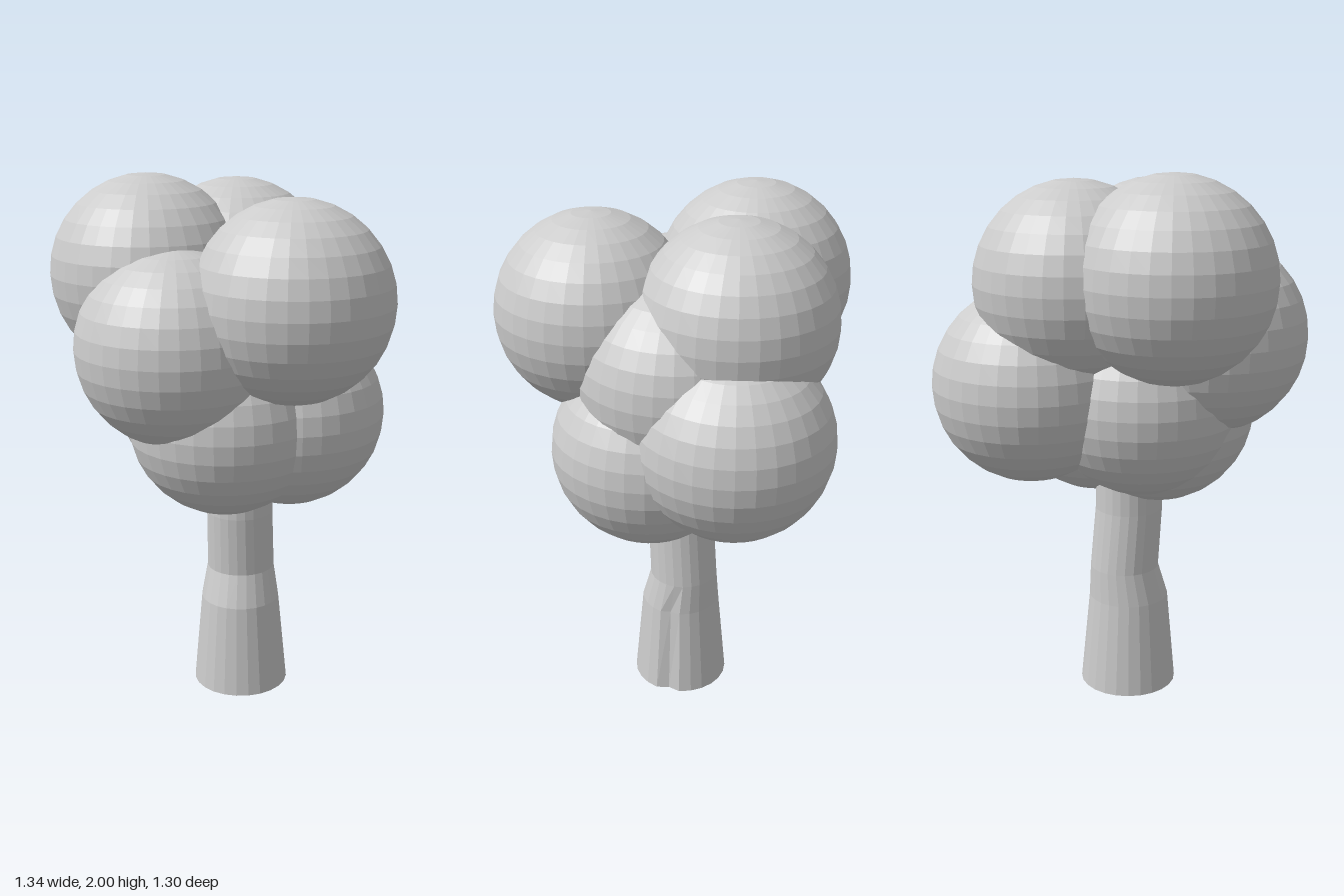
import * as THREE from 'three';

const material = new THREE.MeshStandardMaterial({ color: 0xcccccc, flatShading: true });

// Trunk rings from the ground up: height, centre x, centre z, radius, groove depth
const TRUNK_RINGS = [
  [0, -0.008, -0.03, 0.185, 0.02],
  [0.36, -0.01, -0.03, 0.152, 0.012],
  [0.485, 0.003, -0.042, 0.131, 0],
  [0.72, -0.012, -0.03, 0.128, 0],
  [1.1, -0.012, -0.03, 0.125, 0],
];

// Centres of the equally sized leaf balls
const LEAF_RADIUS = 0.36;
const LEAF_CENTRES = [
  [-0.03, 1.585, 0.287], // front, upper
  [-0.235, 1.64, -0.29], // back, top
  [0.135, 1.61, -0.225], // top, left
  [0.305, 1.235, -0.222], // back, left
  [0.14, 1.12, 0.08], // front, lower left
  [-0.115, 1.12, 0.01], // front, lower right
  [-0.31, 1.41, -0.03], // right
  [0.142, 1.41, -0.02], // left, middle
  [-0.08, 1.175, -0.1], // back, lower
];

// A unit cylinder whose rings are moved and scaled into a slightly crooked stem
function createTrunk() {
  const rows = TRUNK_RINGS.length - 1;
  const geometry = new THREE.CylinderGeometry(1, 1, 1, 24, rows);
  const p = geometry.attributes.position;
  const grooveAngle = (75 * Math.PI) / 180;
  for (let i = 0; i < p.count; i++) {
    const x = p.getX(i), z = p.getZ(i);
    const [y, cx, cz, radius, groove] = TRUNK_RINGS[Math.round((p.getY(i) + 0.5) * rows)];
    const inGroove = Math.hypot(x, z) > 0.5 && Math.abs(Math.atan2(x, z) - grooveAngle) < 0.05;
    const r = inGroove ? radius - groove : radius;
    p.setXYZ(i, cx + x * r, y, cz + z * r);
  }
  geometry.computeVertexNormals();
  const trunk = new THREE.Mesh(geometry, material);
  trunk.name = 'trunk';
  return trunk;
}

// Overlapping balls of leaves
function createFoliage() {
  const foliage = new THREE.Group();
  foliage.name = 'foliage';
  const ball = new THREE.SphereGeometry(LEAF_RADIUS, 32, 16);
  LEAF_CENTRES.forEach((centre, i) => {
    const mesh = new THREE.Mesh(ball, material);
    mesh.name = `leafBall${i + 1}`;
    mesh.position.set(...centre);
    foliage.add(mesh);
  });
  return foliage;
}

export function createModel() {
  const tree = new THREE.Group();
  tree.name = 'tree';
  tree.add(createTrunk(), createFoliage());
  return tree;
}
